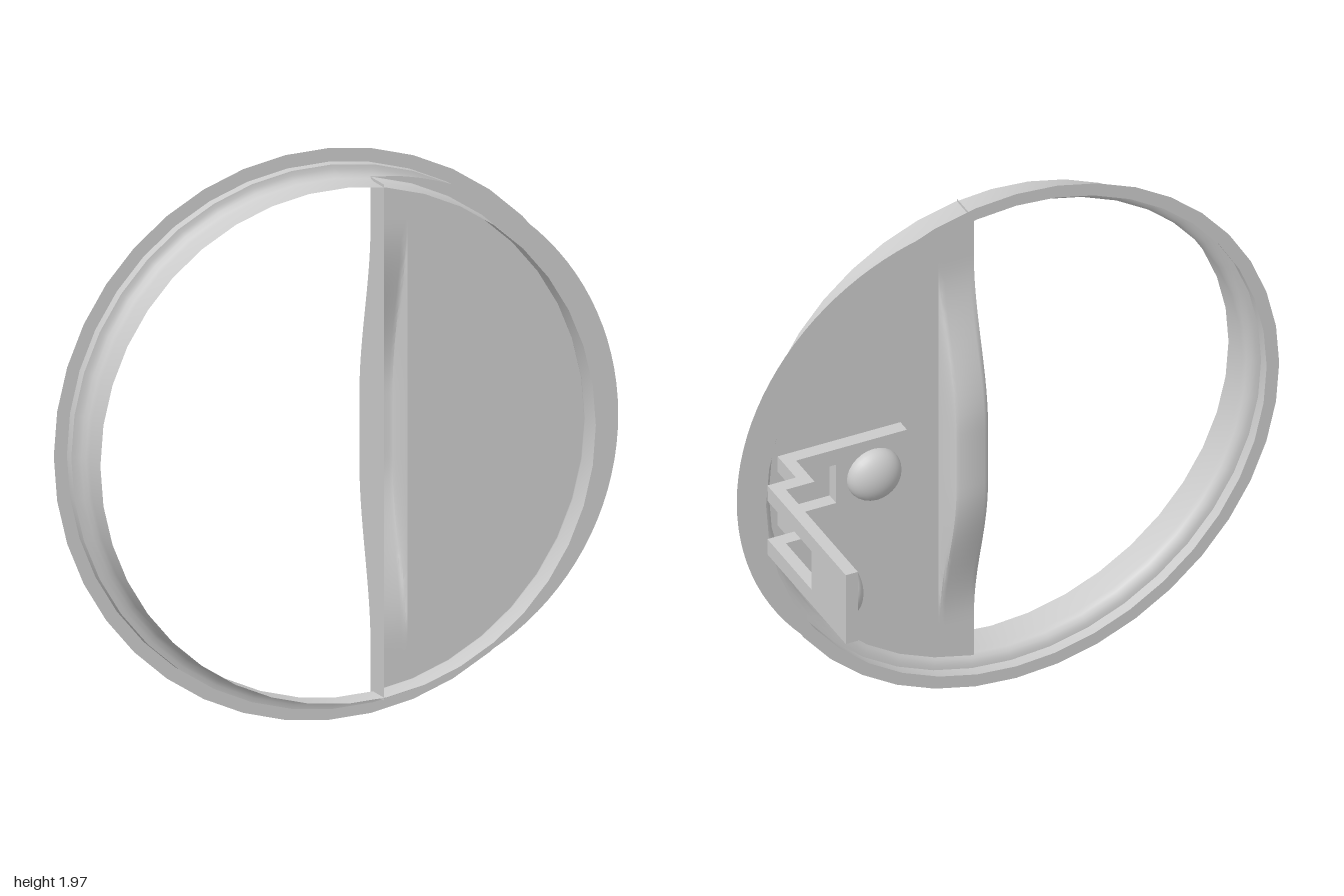
import * as THREE from 'three';
import { toCreasedNormals } from 'three/addons/utils/BufferGeometryUtils.js';

const CY = 0.984;        // centre height of the ring
const RING_X = -0.017;   // ring centre in x
const R = 0.888;         // tube and panel radius
const EDGE = 0.112;      // straight edge of the half panel
const FOLD = 0.245;      // where the raised grip meets the flat panel
const PANEL_Z = 0.305, FRONT_Z = 0.435;

const material = new THREE.MeshStandardMaterial({ color: 0xcccccc, side: THREE.DoubleSide });

function add(parent, name, geometry) {
  const mesh = new THREE.Mesh(geometry, material);
  mesh.name = name;
  parent.add(mesh);
  return mesh;
}

// Height of the grip bulge along the straight edge
const bulge = (y) => 0.118 * (1 - THREE.MathUtils.smoothstep(Math.abs(y - CY), 0.12, 0.72));
// Half height of the panel at a given x
const halfHeight = (x) => Math.sqrt(R * R - (x - EDGE) ** 2);

// Reshape a plane grid by a rule (u, v in 0..1)
function grid(nu, nv, rule) {
  const g = new THREE.PlaneGeometry(1, 1, nu, nv);
  const p = g.attributes.position;
  for (let i = 0; i < p.count; i++) p.setXYZ(i, ...rule(p.getX(i) + 0.5, p.getY(i) + 0.5));
  g.computeVertexNormals();
  return g;
}

// Extrude an outline given in x and z upward from y0
function plate(points, y0, height) {
  const shape = new THREE.Shape(points.map(([x, z]) => new THREE.Vector2(x, -z)));
  const g = new THREE.ExtrudeGeometry(shape, { depth: height, bevelEnabled: false });
  return g.rotateX(-Math.PI / 2).translate(0, y0, 0);
}

export function createModel() {
  const model = new THREE.Group();
  model.name = 'ringWithHalfPanel';

  // Thin ring: straight tube, fillet, step and flat outer flange
  const profile = [
    [R, FRONT_Z], [R, 0.33], [0.893, 0.31], [0.905, 0.296], [0.922, 0.289], [0.937, 0.287],
    [0.937, 0.245], [CY, 0.245],
  ].map(([r, z]) => new THREE.Vector2(r, z));
  const ring = new THREE.LatheGeometry(profile, 40).rotateX(Math.PI / 2);
  add(model, 'ring', toCreasedNormals(ring, 0.7)).position.set(RING_X, CY, 0);

  // Half panel with a raised grip along its straight edge
  const panel = new THREE.Group();
  panel.name = 'halfPanel';
  model.add(panel);

  const a = Math.acos((FOLD - EDGE) / R);
  const flat = new THREE.Shape().absarc(EDGE, CY, R, -a, a, false);
  flat.closePath();
  add(panel, 'flatPanel', new THREE.ShapeGeometry(flat, 24)).position.z = PANEL_Z;

  const xs = [EDGE, 0.118, 0.13, 0.222, 0.233, 0.239, FOLD];
  const lift = [0.9, 0.97, 1, 1, 0.95, 0.8, 0];
  const grip = grid(xs.length - 1, 48, (u, v) => {
    const i = Math.round(u * (xs.length - 1));
    const y = CY + (2 * v - 1) * halfHeight(xs[i]);
    return [xs[i], y, PANEL_Z - lift[i] * bulge(y)];
  });
  add(panel, 'raisedGrip', toCreasedNormals(grip, 0.7));

  const wall = grid(1, 48, (u, v) => {
    const y = CY + (2 * v - 1) * R;
    return [EDGE, y, u < 0.5 ? FRONT_Z : PANEL_Z - lift[0] * bulge(y)];
  });
  add(panel, 'edgeWall', wall);

  // Slotted hinge arm: two solid ends joined by a pair of stepped rails
  const arm = new THREE.Group();
  arm.name = 'hingeArm';
  model.add(arm);
  const bottom = 0.85, height = 0.28, railHeight = 0.062;
  const mid = bottom + height / 2;

  add(arm, 'innerPlate', plate([[0.39, 0.25], [0.655, 0.25], [0.655, 0.3], [0.39, 0.3]], bottom, height));
  add(arm, 'outerPlate', plate([[0.912, -0.435], [0.957, -0.435], [0.957, -0.175], [0.912, -0.175]], bottom, height));
  const railPath = [
    [0.655, 0.25], [0.805, 0.25], [0.805, 0.11], [0.912, 0.11], [0.912, -0.175],
    [0.957, -0.175], [0.957, 0.16], [0.85, 0.16], [0.85, 0.3], [0.655, 0.3],
  ];
  for (const y of [bottom, bottom + height - railHeight]) add(arm, 'rail', plate(railPath, y, railHeight));

  // Domed studs, one on each plate
  const dome = () => new THREE.SphereGeometry(0.1, 28, 10, 0, Math.PI * 2, 0, Math.PI / 2).scale(1, 0.65, 1);
  add(arm, 'innerStud', dome().rotateX(-Math.PI / 2)).position.set(0.515, mid, 0.25);
  add(arm, 'outerStud', dome().rotateZ(Math.PI / 2)).position.set(0.912, mid, -0.313);

  return model;
}
